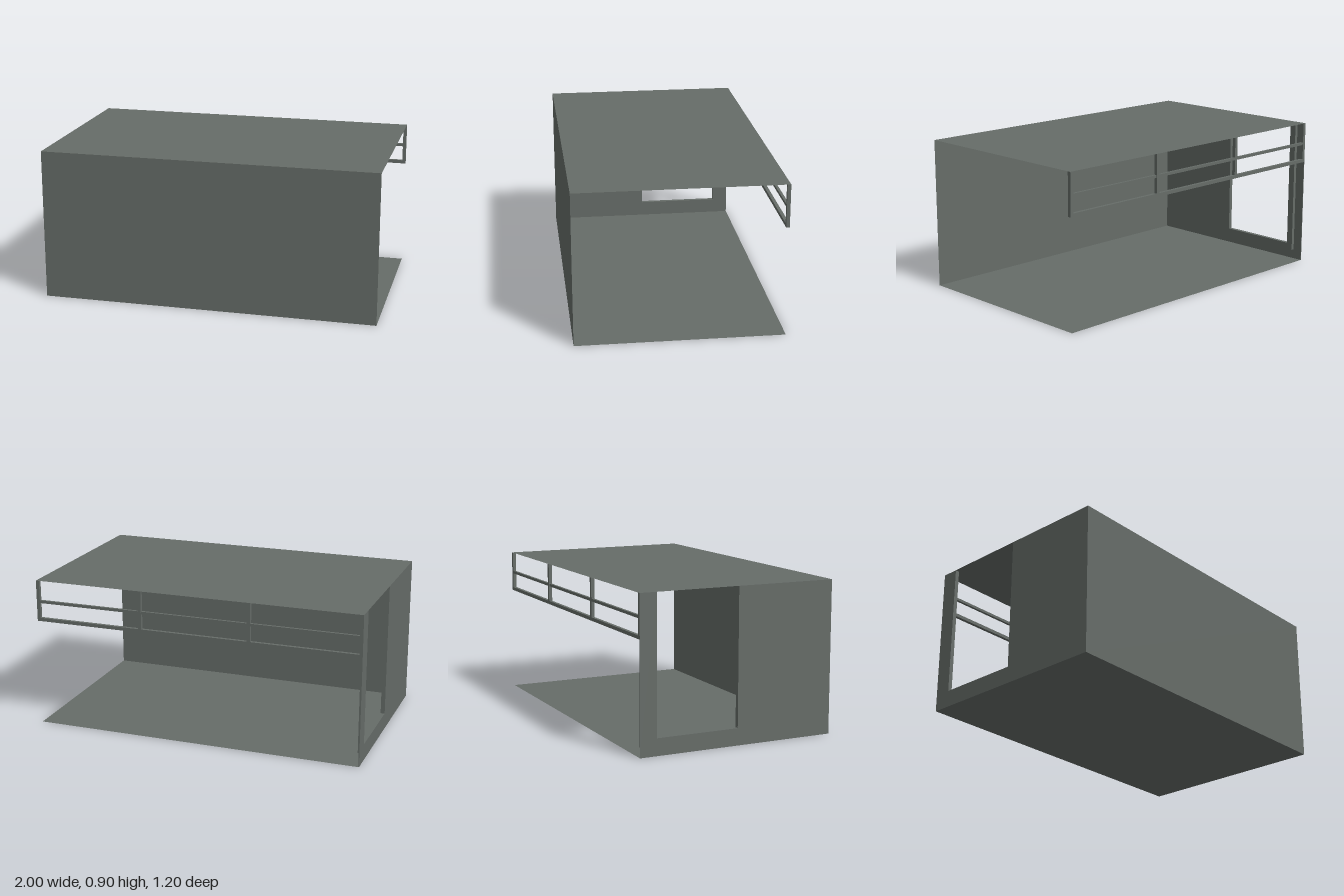
import * as THREE from 'three';

export function createModel() {
  const model = new THREE.Group();
  model.name = 'shelter';

  const cladding = new THREE.MeshStandardMaterial({ color: 0x666c68, side: THREE.DoubleSide });
  cladding.name = 'greyGreenCladding';

  const W = 2, H = 0.9, D = 1.2;

  const add = (name, geometry, x, y, z, parent = model) => {
    const mesh = new THREE.Mesh(geometry, cladding);
    mesh.name = name;
    mesh.position.set(x, y, z);
    parent.add(mesh);
    return mesh;
  };

  // Thin sheets: floor, roof and front wall
  add('floor', new THREE.PlaneGeometry(W, D).rotateX(-Math.PI / 2), 0, 0, 0);
  add('roof', new THREE.PlaneGeometry(W, D).rotateX(-Math.PI / 2), 0, H, 0);
  add('frontWall', new THREE.PlaneGeometry(W, H), 0, H / 2, D / 2);

  // End wall with a doorway that runs up to the roof; profile is in z and y
  const endWall = new THREE.Group();
  endWall.name = 'endWall';
  model.add(endWall);
  const wallLayer = (name, inset, thickness, innerX) => {
    const edge = D / 2 - inset;
    const profile = new THREE.Shape([
      [-edge, inset], [edge, inset], [edge, H], [0, H],
      [0, 0.1], [-0.5, 0.1], [-0.5, H], [-edge, H],
    ].map(([z, y]) => new THREE.Vector2(z, y)));
    const geometry = new THREE.ExtrudeGeometry(profile, { depth: thickness, bevelEnabled: false });
    geometry.rotateY(-Math.PI / 2);
    add(name, geometry, innerX, 0, 0, endWall);
  };
  wallLayer('outerSkin', 0, 0.004, -W / 2 + 0.004);
  wallLayer('innerLining', 0.06, 0.021, -W / 2 + 0.025);

  // Hanging rail frame along the open back
  const railing = new THREE.Group();
  railing.name = 'backRailing';
  model.add(railing);
  const bar = 0.02, bottom = 0.65, railZ = -D / 2 + bar / 2;
  for (const x of [-0.99, -0.335, 0.335, 0.99]) {
    add('railPost', new THREE.BoxGeometry(bar, H - bottom, bar), x, (H + bottom) / 2, railZ, railing);
  }
  add('bottomRail', new THREE.BoxGeometry(W, bar, bar), 0, bottom + bar / 2, railZ, railing);
  add('middleRail', new THREE.BoxGeometry(W, 0.016, 0.016), 0, 0.77, railZ, railing);

  return model;
}
